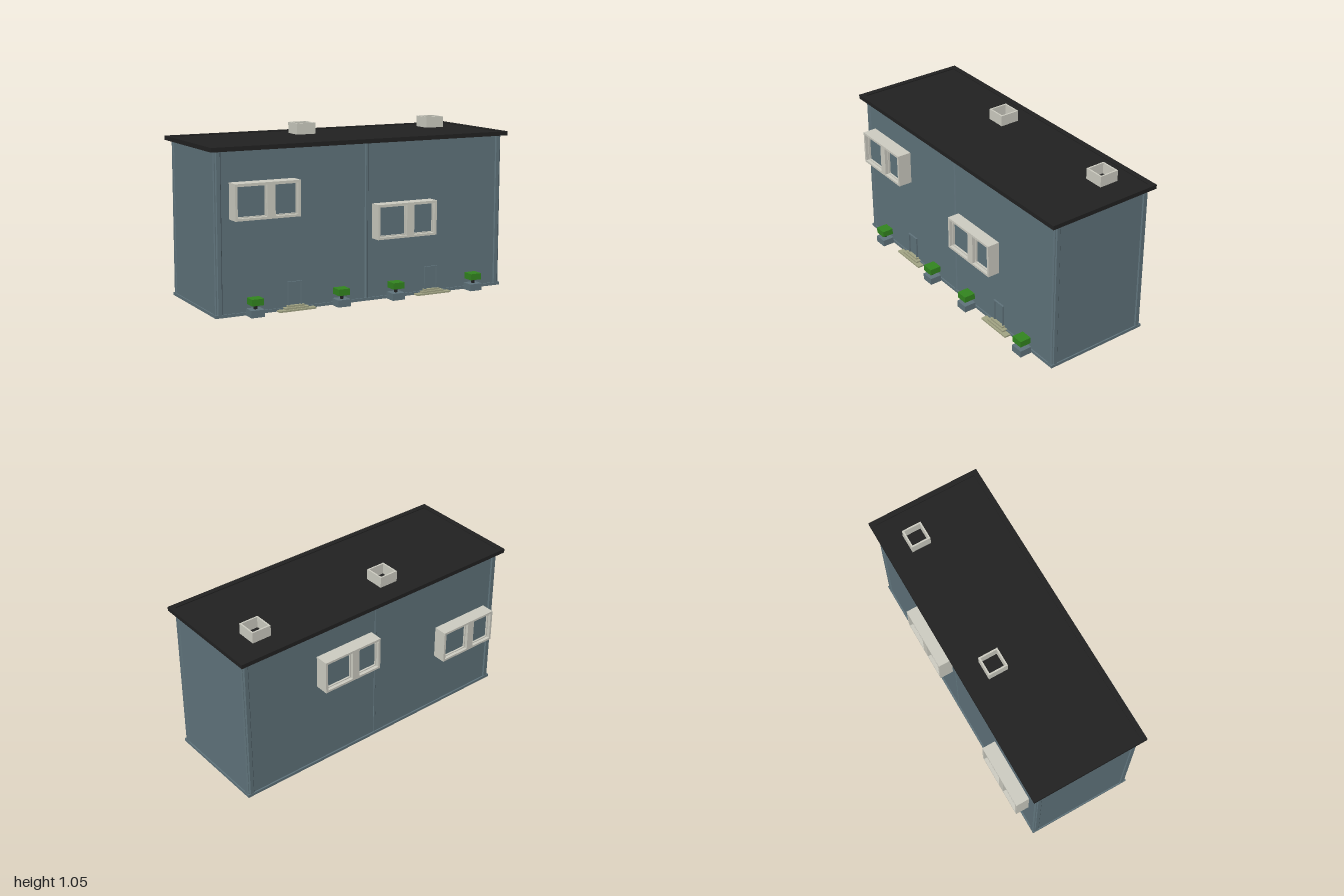
import * as THREE from 'three';

const mat = (name, color) => {
  const m = new THREE.MeshStandardMaterial({ color });
  m.name = name;
  return m;
};

export function createModel() {
  const model = new THREE.Group();
  model.name = 'house';
  const blue = mat('slate blue wall', 0x60747c);
  const black = mat('black roof', 0x222222);
  const cream = mat('cream trim', 0xcfcec3);
  const stone = mat('olive stone', 0xa3a585);
  const green = mat('hedge green', 0x33861f);

  // Box given by its minimum and maximum on each axis
  const box = (parent, name, m, x0, x1, y0, y1, z0, z1) => {
    const mesh = new THREE.Mesh(new THREE.BoxGeometry(x1 - x0, y1 - y0, z1 - z0), m);
    mesh.position.set((x0 + x1) / 2, (y0 + y1) / 2, (z0 + z1) / 2);
    mesh.name = name;
    parent.add(mesh);
    return mesh;
  };
  const group = (name, parent = model) => {
    const g = new THREE.Group();
    g.name = name;
    parent.add(g);
    return g;
  };
  // Four boxes forming a rectangular ring, open above and below
  const ring = (parent, name, m, x0, x1, y0, y1, z0, z1, t) => {
    box(parent, name, m, x0, x1, y0, y1, z1 - t, z1);
    box(parent, name, m, x0, x1, y0, y1, z0, z0 + t);
    box(parent, name, m, x0, x0 + t, y0, y1, z0 + t, z1 - t);
    box(parent, name, m, x1 - t, x1, y0, y1, z0 + t, z1 - t);
  };

  // Hollow walls, open underneath, with a low plinth
  const shell = group('walls');
  ring(shell, 'wall', blue, -0.968, 0.972, 0.01, 0.97, -0.338, 0.335, 0.012);
  ring(shell, 'plinth', blue, -0.975, 0.98, 0, 0.018, -0.347, 0.343, 0.03);

  // Eight-sided posts at the corners and mid-wall
  const post = (x, z, apothem) => {
    const geo = new THREE.CylinderGeometry(1, 1, 0.95, 8).rotateY(Math.PI / 8);
    const r = apothem / Math.cos(Math.PI / 8);
    geo.scale(r, 1, r);
    const mesh = new THREE.Mesh(geo.toNonIndexed(), blue);
    mesh.geometry.computeVertexNormals();
    mesh.position.set(x, 0.49, z);
    mesh.name = 'post';
    shell.add(mesh);
  };
  for (const z of [-0.318, 0.314]) {
    post(-0.946, z, 0.027);
    post(0.951, z, 0.027);
    post(0.011, Math.sign(z) * 0.327, 0.014);
  }

  // Flat roof with a slightly raised rim
  const roof = group('roof');
  box(roof, 'roofSlab', black, -0.99, 0.99, 0.963, 0.982, -0.37, 0.364);
  ring(roof, 'roofRim', black, -1, 1, 0.963, 0.989, -0.378, 0.372, 0.033);

  // Hollow square chimneys
  for (const x of [-0.172, 0.762]) {
    const chimney = group('chimney');
    ring(chimney, 'chimneyWall', cream, x - 0.063, x + 0.063, 0.98, 1.051, -0.236, -0.109, 0.01);
  }

  // Projecting window bays, each with a wide and a narrow pane
  const rect = (C, x0, x1, y0, y1) => {
    const s = new C();
    s.moveTo(x0, y0);
    s.lineTo(x1, y0);
    s.lineTo(x1, y1);
    s.lineTo(x0, y1);
    s.closePath();
    return s;
  };
  const bay = (x, y, depth, back) => {
    const g = group('windowBay');
    const outline = rect(THREE.Shape, -0.205, 0.205, 0, 0.213);
    const panes = [[-0.19, -0.005], [0.045, 0.19]];
    for (const [a, b] of panes) {
      outline.holes.push(rect(THREE.Path, a, b, 0.014, 0.199));
      box(g, 'glass', blue, a, b, 0.014, 0.199, depth - 0.045, depth - 0.038);
      // Slim sash set just behind the face
      const sash = rect(THREE.Shape, a, b, 0.014, 0.199);
      sash.holes.push(rect(THREE.Path, a + 0.006, b - 0.006, 0.02, 0.193));
      const sashMesh = new THREE.Mesh(
        new THREE.ExtrudeGeometry(sash, { depth: 0.01, bevelEnabled: false }), cream);
      sashMesh.position.z = depth - 0.03;
      sashMesh.name = 'sash';
      g.add(sashMesh);
    }
    const frame = new THREE.Mesh(
      new THREE.ExtrudeGeometry(outline, { depth: depth + 0.015, bevelEnabled: false }), cream);
    frame.position.z = -0.015;
    frame.name = 'bayFrame';
    g.add(frame);
    g.position.set(x, y, back ? -0.335 : 0.335);
    if (back) g.rotation.y = Math.PI;
  };
  bay(-0.675, 0.57, 0.09, false);
  bay(0.255, 0.381, 0.078, false);
  bay(0.25, 0.57, 0.09, true);
  bay(-0.683, 0.381, 0.09, true);

  // Doors with slim surrounds and three stepped slabs
  for (const x of [-0.47, 0.466]) {
    const door = group('doorway');
    box(door, 'doorPanel', blue, x - 0.04, x + 0.04, 0.02, 0.165, 0.33, 0.337);
    for (const s of [-1, 1]) {
      const c = x + s * 0.042;
      box(door, 'doorJamb', blue, c - 0.004, c + 0.004, 0.02, 0.17, 0.33, 0.346);
    }
    box(door, 'doorLintel', blue, x - 0.046, x + 0.046, 0.162, 0.17, 0.33, 0.346);
    [[0.12, 0.384], [0.078, 0.37], [0.055, 0.357]].forEach(([w, z], i) =>
      box(door, 'step', stone, x - w, x + w, i * 0.01, (i + 1) * 0.01, 0.335, z));
  }

  // Potted box hedges along the front
  for (const x of [-0.745, -0.184, 0.19, 0.75]) {
    const plant = group('planter');
    box(plant, 'pot', blue, x - 0.042, x + 0.042, 0, 0.043, 0.346, 0.424);
    box(plant, 'trunk', black, x - 0.008, x + 0.008, 0.04, 0.072, 0.377, 0.393);
    box(plant, 'foliage', green, x - 0.038, x + 0.038, 0.069, 0.108, 0.348, 0.422);
  }

  return model;
}
